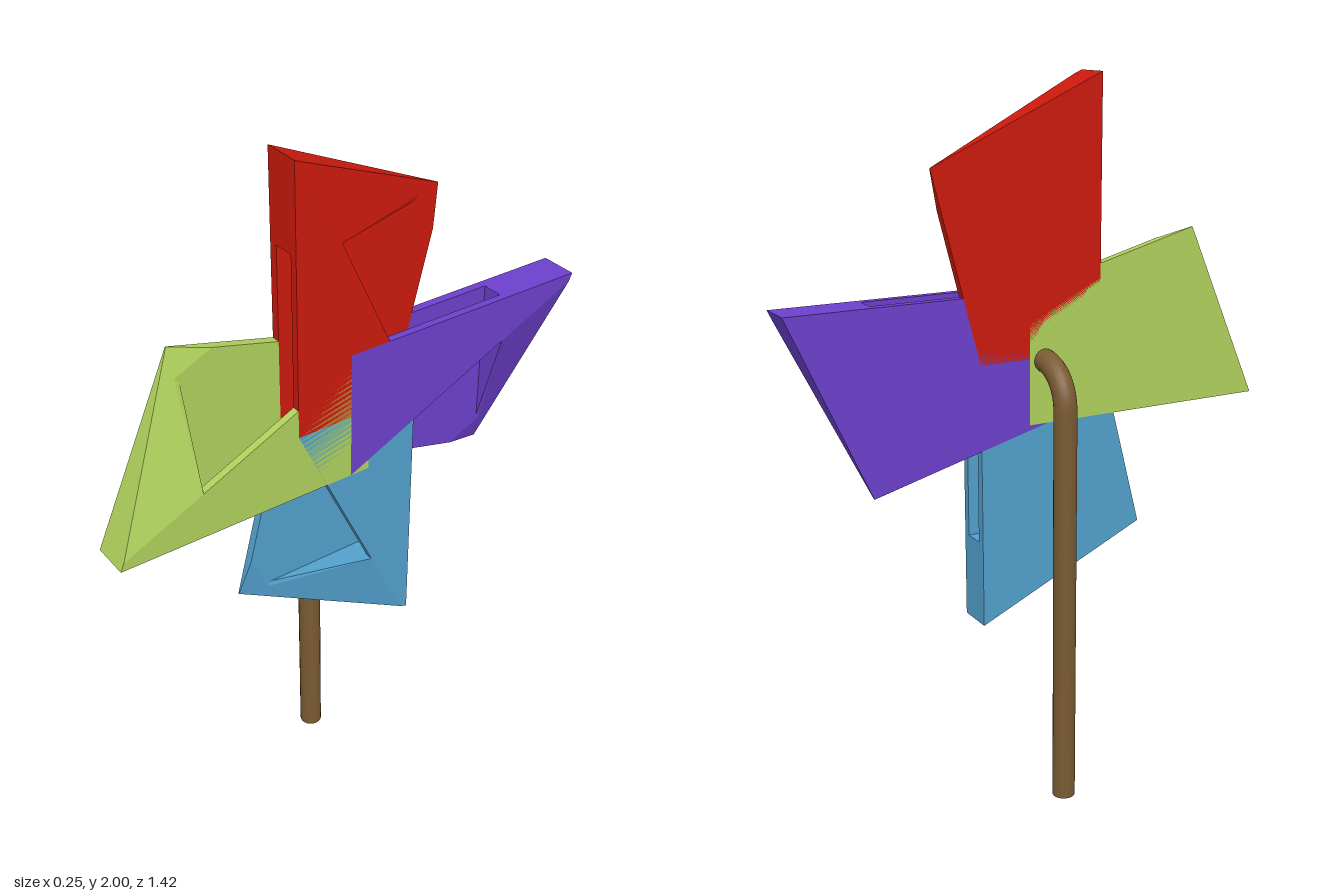
import * as THREE from 'three';
import { ConvexGeometry } from 'three/addons/geometries/ConvexGeometry.js';

const V = (x, u, v) => new THREE.Vector3(x, u, v);
const BACK = 0.015, FLOOR = 0.04, CEIL = 0.1, FRONT = 0.122;
const WIDE = 0.183, LONG = 0.74, SLOT_END = 0.5;

// One folded blade, pointing up: back plate, front flap and solid tip around an open slot
function createBlade(color) {
  const material = new THREE.MeshStandardMaterial({ color, flatShading: true, side: THREE.DoubleSide });
  const blade = new THREE.Group();
  const add = (name, points) => {
    const mesh = new THREE.Mesh(new ConvexGeometry(points), material);
    mesh.name = name;
    blade.add(mesh);
  };
  const foldTop = V(FRONT, 0.73, 0.16);
  const foldBase = V(FRONT, 0, -WIDE);
  const corner = V(0.018, 0.517, -0.3175);
  const toCorner = (p) => p.clone().lerp(corner, (FRONT - FLOOR) / (FRONT - corner.x));

  add('backPlate', [
    V(BACK, 0, WIDE), V(BACK, LONG, WIDE), V(BACK, 0.517, -0.3175), V(BACK, 0, -WIDE),
    V(FLOOR, 0, WIDE), V(FLOOR, LONG, WIDE), V(FLOOR, 0, -WIDE),
    toCorner(foldTop), toCorner(foldBase), corner,
  ]);

  const flap = [];
  for (const x of [CEIL, FRONT]) {
    flap.push(V(x, 0, WIDE), V(x, LONG, WIDE), V(x, foldTop.y, foldTop.z), V(x, 0, -WIDE));
  }
  add('frontFlap', flap);

  // Tip: flat up to the fold, then sloping down to the outer corner
  const fold = foldBase.clone().lerp(foldTop, SLOT_END / foldTop.y);
  add('tip', [
    V(BACK, SLOT_END, WIDE), V(FRONT, SLOT_END, WIDE), V(BACK, LONG, WIDE), V(FRONT, LONG, WIDE),
    foldTop, fold, corner, V(BACK, 0.517, -0.3175), V(BACK, SLOT_END, -0.313),
  ]);
  return blade;
}

export function createModel() {
  const model = new THREE.Group();
  model.name = 'pinwheel';

  // Four blades turned about the hub, slightly overlapping at the centre
  const blades = [
    ['topBlade', 0xcc1a0c, 0, 0],
    ['backBlade', 0x6c40cc, -1, -0.021],
    ['bottomBlade', 0x52a0cc, 2, 0],
    ['frontBlade', 0xafd05c, 1, -0.036],
  ];
  for (const [name, color, turns, offset] of blades) {
    const blade = createBlade(color);
    for (const part of blade.children) part.position.y = offset;
    blade.name = name;
    blade.rotation.x = turns * Math.PI / 2;
    blade.position.set(0, 1.262, 0.007);
    model.add(blade);
  }

  // Bent stick
  const z = 0.017;
  const path = new THREE.CurvePath();
  path.add(new THREE.LineCurve3(V(-0.095, 0, z), V(-0.095, 1.14, z)));
  path.add(new THREE.CubicBezierCurve3(
    V(-0.095, 1.14, z), V(-0.095, 1.2, z), V(-0.05, 1.255, z), V(0.03, 1.255, z)));
  const material = new THREE.MeshStandardMaterial({ color: 0x7a5a32 });
  const stick = new THREE.Mesh(new THREE.TubeGeometry(path, 64, 0.032, 20), material);
  stick.name = 'stick';
  model.add(stick);

  const foot = new THREE.Mesh(new THREE.CircleGeometry(0.032, 20), material);
  foot.name = 'stickEnd';
  foot.rotation.x = Math.PI / 2;
  foot.position.set(-0.095, 0, z);
  model.add(foot);
  return model;
}
